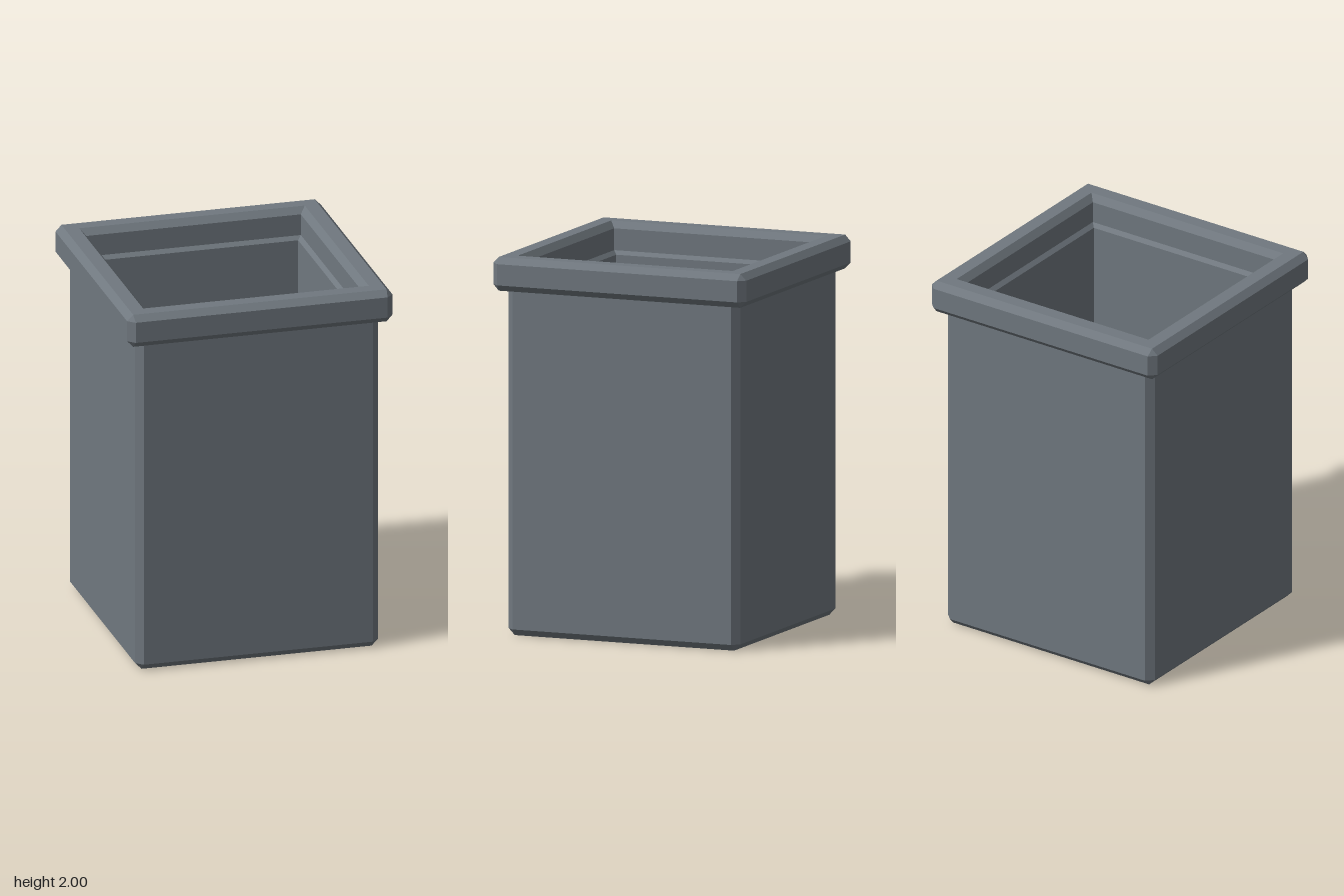
import * as THREE from 'three';

// Horizontal square ring of half-width h with corners cut by c, at height y
function ring([h, c, y]) {
  const k = h - c;
  return [[h, -k], [h, k], [k, h], [-k, h], [-h, k], [-h, -k], [-k, -h], [k, -h]]
    .map(([x, z]) => new THREE.Vector3(x, y, z));
}

// Skin between successive rings, listed from the outside bottom, up, over and inwards
function squareShell(profile) {
  const pos = [];
  const tri = (a, b, c) => {
    const area = b.clone().sub(a).cross(c.clone().sub(a)).length();
    if (area > 1e-9) for (const p of [a, b, c]) pos.push(p.x, p.y, p.z);
  };
  const rings = profile.map(ring);
  for (let r = 0; r < rings.length - 1; r++) {
    for (let i = 0; i < 8; i++) {
      const j = (i + 1) % 8;
      const lo = rings[r], hi = rings[r + 1];
      tri(lo[i], hi[i], hi[j]);
      tri(lo[i], hi[j], lo[j]);
    }
  }
  const geo = new THREE.BufferGeometry();
  geo.setAttribute('position', new THREE.Float32BufferAttribute(pos, 3));
  geo.computeVertexNormals();
  return geo;
}

export function createModel() {
  const group = new THREE.Group();
  group.name = 'squarePot';
  const stone = new THREE.MeshStandardMaterial({ color: 0x70787f });
  stone.name = 'greyStone';

  const add = (name, profile) => {
    const mesh = new THREE.Mesh(squareShell(profile), stone);
    mesh.name = name;
    group.add(mesh);
  };

  // Hollow body: bevelled base and corners, sharp-cornered cavity with a floor
  add('body', [
    [0, 0, 0], [0.622, 0, 0], [0.657, 0.037, 0.035], [0.657, 0.037, 1.825],
    [0.56, 0, 1.825], [0.56, 0, 0.1], [0, 0, 0.1],
  ]);

  // Overhanging rim: bevelled outside, bevelled lip and ledge inside
  add('rim', [
    [0.56, 0, 1.822], [0.685, 0, 1.822], [0.718, 0.037, 1.855], [0.718, 0.037, 1.967],
    [0.685, 0, 2], [0.61, 0, 2], [0.58, 0, 1.965], [0.58, 0, 1.85], [0.56, 0, 1.83],
    [0.56, 0, 1.822],
  ]);

  return group;
}
